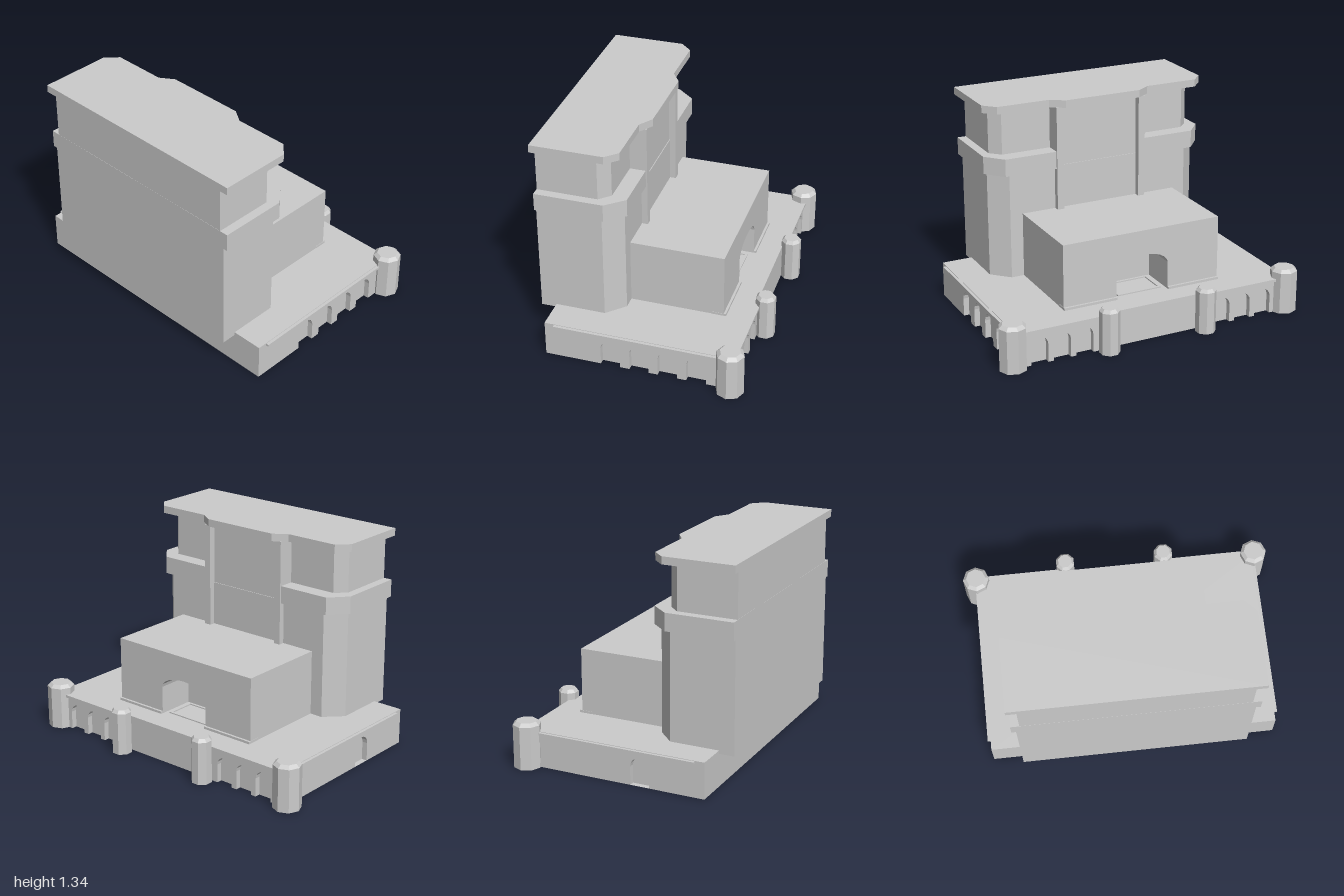
import * as THREE from 'three';

const mat = new THREE.MeshStandardMaterial({ color: 0xcccccc, flatShading: true, side: THREE.DoubleSide });

export function createModel() {
  const model = new THREE.Group();

  function add(name, geometry, x = 0, y = 0, z = 0) {
    const mesh = new THREE.Mesh(geometry, mat);
    mesh.name = name;
    mesh.position.set(x, y, z);
    model.add(mesh);
    return mesh;
  }
  // Box given by its extents
  function box(name, x0, x1, y0, y1, z0, z1) {
    return add(name, new THREE.BoxGeometry(x1 - x0, y1 - y0, z1 - z0), (x0 + x1) / 2, (y0 + y1) / 2, (z0 + z1) / 2);
  }
  // Mirrored plan [x, z] raised from y0 to y1
  function plan(name, half, y0, y1) {
    const points = [...half, ...half.map(([x, z]) => [-x, z]).reverse()];
    const shape = new THREE.Shape(points.map(([x, z]) => new THREE.Vector2(x, -z)));
    const g = new THREE.ExtrudeGeometry(shape, { depth: y1 - y0, bevelEnabled: false });
    g.rotateX(-Math.PI / 2);
    return add(name, g, 0, y0, 0);
  }
  // Wall with arched niches, lying in XY with its outer face toward +z
  function arcade(name, length, centres, width, depth) {
    const s = new THREE.Shape();
    const r = width / 2, spring = 0.115, h = 0.215;
    s.moveTo(-length / 2, 0);
    for (const c of centres) {
      s.lineTo(c - r, 0);
      s.lineTo(c - r, spring);
      for (let i = 1; i <= 8; i++) {
        const a = Math.PI * (1 - i / 8);
        s.lineTo(c + r * Math.cos(a), spring + r * Math.sin(a));
      }
      s.lineTo(c + r, 0);
    }
    s.lineTo(length / 2, 0);
    s.lineTo(length / 2, h);
    s.lineTo(-length / 2, h);
    const g = new THREE.ExtrudeGeometry(s, { depth, bevelEnabled: false });
    g.translate(0, 0, -depth);
    const wall = add(name, g);
    const back = new THREE.Mesh(new THREE.PlaneGeometry(length, h), mat);
    back.name = name + 'NicheBack';
    back.position.set(0, h / 2, -depth);
    wall.add(back);
    return wall;
  }

  // Hollow terrace: deck and plain walls
  box('deck', -0.906, 0.906, 0.21, 0.225, -0.57, 0.58);
  box('frontWall', -0.906, 0.906, 0, 0.21, 0.57, 0.58);
  box('backCentreWall', -0.33, 0.33, 0, 0.225, -0.575, -0.565);

  for (const s of [-1, 1]) {
    // Side arcade, four niches toward the back
    const side = arcade('sideArcade', 1.15, [0.17, -0.01, -0.185, -0.362].map((z) => -s * (z - 0.005)), 0.12, 0.035);
    side.rotation.y = s * Math.PI / 2;
    side.position.set(s * 0.906, 0, 0.005);

    // Back arcade between the corner tower and the middle tower
    const back = arcade('backArcade', 0.54, [-0.145, 0, 0.145], 0.11, 0.035);
    back.rotation.y = Math.PI;
    back.position.set(s * 0.61, 0, -0.585);

    // Thin deck lip
    box('sideLip', s * 0.913 - 0.012, s * 0.913 + 0.012, 0.208, 0.222, -0.57, 0.52);
    box('backLip', s * 0.625 - 0.29, s * 0.625 + 0.29, 0.208, 0.225, -0.6, -0.56);

    // Octagonal towers with bevelled caps
    for (const [name, x, z, r] of [['cornerTower', 0.917, -0.57, 0.085], ['middleTower', 0.325, -0.628, 0.063]]) {
      const profile = [[0, 0], [r, 0], [r, 0.268], [r * 0.74, 0.288], [0, 0.288]];
      const g = new THREE.LatheGeometry(profile.map(([a, b]) => new THREE.Vector2(a, b)), 8);
      g.rotateY(name === 'cornerTower' ? 0 : Math.PI / 8);
      add(name, g, s * x, 0, z);
    }

    // Tall pilasters beside the central wall
    box('pilaster', s * 0.28 - 0.022, s * 0.28 + 0.022, 0.205, 1.29, 0.128, 0.25);
    // Low plinth under each window bay
    box('bayPlinth', s * 0.35 - 0.175, s * 0.35 + 0.175, 0.22, 0.24, -0.433, -0.35);
  }

  // Main block with chamfered rear corners
  plan('lowerStorey', [[0.71, 0.675], [0.71, 0.27], [0.605, 0.165]], 0.205, 0.91);
  plan('upperStorey', [[0.683, 0.675], [0.683, 0.3], [0.62, 0.235], [0.28, 0.235], [0.28, 0.17]], 0.9, 1.3);
  plan('cornice', [[0.738, 0.676], [0.738, 0.25], [0.64, 0.137], [0.3, 0.137], [0.3, 0.24], [0.27, 0.24]], 0.9, 1.01);
  plan('roofSlab', [[0.745, 0.685], [0.745, 0.235], [0.675, 0.162], [0.335, 0.162], [0.25, 0.105]], 1.29, 1.337);

  // Rear wing: two bays joined over an arched porch
  const wing = new THREE.Shape();
  wing.moveTo(-0.523, 0.22);
  wing.lineTo(-0.175, 0.22);
  for (let i = 0; i <= 12; i++) {
    const a = Math.PI * (1 - i / 12);
    wing.lineTo(0.175 * Math.cos(a), 0.4 + 0.08 * Math.sin(a));
  }
  wing.lineTo(0.175, 0.22);
  wing.lineTo(0.523, 0.22);
  wing.lineTo(0.523, 0.635);
  wing.lineTo(-0.523, 0.635);
  add('wingBays', new THREE.ExtrudeGeometry(wing, { depth: 0.24, bevelEnabled: false }), 0, 0, -0.418);
  box('wingBody', -0.523, 0.523, 0.22, 0.635, -0.18, 0.18);

  // Raised threshold frame on the porch floor
  for (const s of [-1, 1]) {
    box('thresholdSide', s * 0.14 - 0.008, s * 0.14 + 0.008, 0.2, 0.232, -0.38, -0.2);
    box('thresholdEnd', -0.148, 0.148, 0.2, 0.232, -0.29 + s * 0.09 - 0.008, -0.29 + s * 0.09 + 0.008);
  }

  return model;
}
